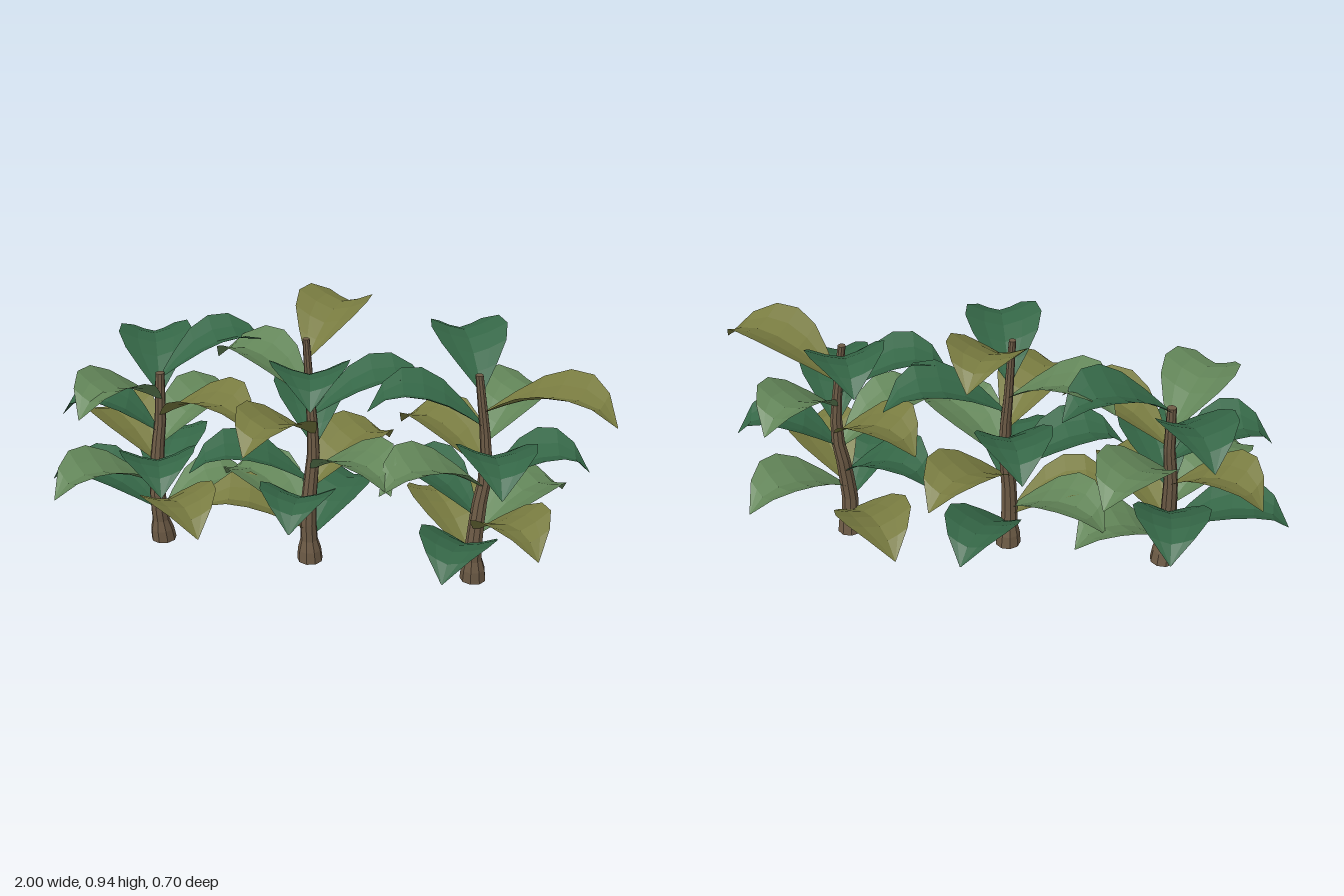
import * as THREE from 'three';

const material = (name, color, side = THREE.FrontSide) => {
  const m = new THREE.MeshStandardMaterial({ color, flatShading: true, side });
  m.name = name;
  return m;
};

// Linear interpolation through [key, a, b...] rows
function sample(rows, k) {
  let i = 0;
  while (i < rows.length - 2 && k > rows[i + 1][0]) i++;
  const a = rows[i], b = rows[i + 1];
  const f = THREE.MathUtils.clamp((k - a[0]) / (b[0] - a[0]), 0, 1);
  return a.slice(1).map((v, j) => v + (b[j + 1] - v) * f);
}

// Leaf along its length: fraction, half width, midrib height
const LEAF = [
  [0, 0.008, 0], [0.17, 0.064, 0.046], [0.34, 0.11, 0.086],
  [0.52, 0.13, 0.113], [0.7, 0.118, 0.122], [0.86, 0.074, 0.108], [1, 0.002, 0.06],
];
const REACH = 0.348; // depth limit of the hedge row

// Cupped, arching leaf: plane whose rows follow the LEAF sections
function leafGeometry(base, degrees, size) {
  const a = THREE.MathUtils.degToRad(degrees), c = Math.cos(a), s = Math.sin(a);
  const length = Math.min(size, (REACH - Math.sign(s) * base.z) / Math.max(Math.abs(s), 0.01));
  const geo = new THREE.PlaneGeometry(2, 1, 4, LEAF.length - 1);
  const p = geo.attributes.position;
  for (let i = 0; i < p.count; i++) {
    const [t, half, rise] = LEAF[Math.floor(i / 5)];
    const u = p.getX(i), w = u * half, along = t * length;
    const lift = 0.05 * Math.pow(Math.abs(u), 1.4) * half / 0.13;
    const z = base.z + s * along + c * w;
    p.setXYZ(i, base.x + c * along - s * w, base.y + rise + lift,
      THREE.MathUtils.clamp(z, -0.35, 0.35));
  }
  geo.computeVertexNormals();
  return geo;
}

// Stem: cylinder rings moved onto a bent centre line, flared at the foot
const FLARE = [[0, 0.046], [0.045, 0.042], [0.085, 0.031], [0.3, 0.026], [0.6, 0.017], [0.85, 0.012]];
function stemGeometry(line, height) {
  const levels = [0, 0.045, 0.085, 0.18, 0.3, 0.4, 0.5, 0.62, 0.73, 1]
    .map((v, i) => (i < 3 ? v : v * height));
  const geo = new THREE.CylinderGeometry(1, 1, 1, 9, levels.length - 1);
  const p = geo.attributes.position;
  for (let i = 0; i < p.count; i++) {
    const y = levels[Math.round((p.getY(i) + 0.5) * (levels.length - 1))];
    const [x, z] = sample(line, y), [r] = sample(FLARE, y);
    p.setXYZ(i, x + p.getX(i) * r, y, z + p.getZ(i) * r);
  }
  geo.computeVertexNormals();
  return geo;
}

// line: [y, x, z]; leaves: [height on stem, heading in degrees, colour, length]
const PLANTS = [
  {
    name: 'leftPlant', height: 0.65,
    line: [[0, -0.585, 0.015], [0.17, -0.592, 0.035], [0.35, -0.59, 0.02], [0.5, -0.575, 0], [0.65, -0.575, -0.01]],
    leaves: [
      [0.63, -34, 'g'], [0.575, -115, 'g'], [0.55, 112, 'l'], [0.49, 22, 'o', 0.42], [0.43, 167, 'g', 0.34],
      [0.38, -62, 'l'], [0.32, -150, 'o', 0.36], [0.3, 65, 'g'], [0.23, 128, 'l'], [0.2, -95, 'g'],
      [0.15, 48, 'o'], [0.13, 180, 'g', 0.415], [0.09, -35, 'l', 0.36],
    ],
  },
  {
    name: 'middlePlant', height: 0.84,
    line: [[0, -0.025, 0.01], [0.2, -0.03, 0.02], [0.45, -0.012, 0], [0.65, -0.03, -0.005], [0.84, -0.04, 0]],
    leaves: [
      [0.77, -78, 'o'], [0.68, 73, 'g'], [0.62, 200, 'l'], [0.56, -24, 'g', 0.42], [0.49, 111, 'o'],
      [0.45, 250, 'g'], [0.36, 34, 'l'], [0.31, 157, 'g', 0.42], [0.29, -60, 'o'], [0.23, 85, 'g'],
      [0.15, 205, 'l'], [0.12, 165, 'o'], [0.09, -75, 'g'],
    ],
  },
  {
    name: 'rightPlant', height: 0.77,
    line: [[0, 0.558, -0.022], [0.15, 0.556, -0.005], [0.3, 0.565, -0.02], [0.42, 0.582, -0.03], [0.65, 0.56, -0.03], [0.77, 0.54, -0.02]],
    leaves: [
      [0.71, -115, 'g'], [0.635, 17, 'o', 0.455], [0.58, 163, 'g', 0.39], [0.53, -66, 'l'], [0.46, 74, 'g'],
      [0.42, -152, 'o', 0.38], [0.365, -13, 'g', 0.35], [0.36, 138, 'l'], [0.25, -160, 'g', 0.36],
      [0.2, 46, 'o', 0.35], [0.18, -50, 'l'], [0.13, 97, 'g'], [0.08, -128, 'o', 0.44],
    ],
  },
];

export function createModel() {
  const bark = material('bark brown', 0x6c5a45);
  const foliage = {
    g: material('deep green', 0x346646, THREE.DoubleSide),
    l: material('soft green', 0x628558, THREE.DoubleSide),
    o: material('olive', 0x787b40, THREE.DoubleSide),
  };
  const model = new THREE.Group();
  model.name = 'plantRow';
  for (const { name, height, line, leaves } of PLANTS) {
    const plant = new THREE.Group();
    plant.name = name;
    const stem = new THREE.Mesh(stemGeometry(line, height), bark);
    stem.name = 'stem';
    plant.add(stem);
    leaves.forEach(([y, degrees, tone, size = 0.4], i) => {
      const [x, z] = sample(line, y);
      const leaf = new THREE.Mesh(leafGeometry(new THREE.Vector3(x, y, z), degrees, size), foliage[tone]);
      leaf.name = `leaf${i + 1}`;
      plant.add(leaf);
    });
    model.add(plant);
  }
  return model;
}
